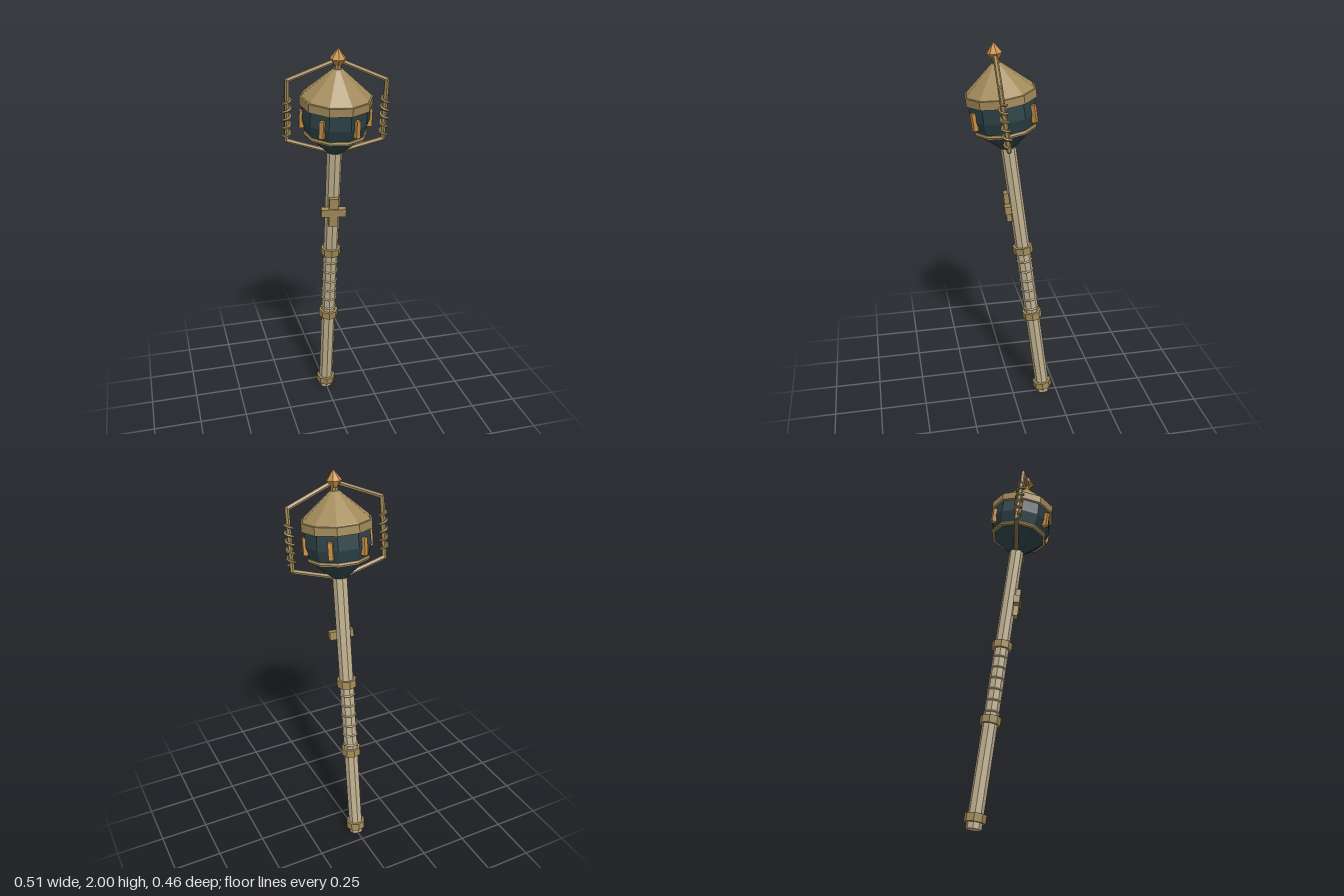
import * as THREE from 'three';

export function createModel() {
  const model = new THREE.Group();
  model.name = 'sceptre';

  const mat = (name, color) => {
    const m = new THREE.MeshStandardMaterial({ color });
    m.name = name;
    return m;
  };
  const bone = mat('bone', 0xbfb08f);
  const brass = mat('brass', 0xa28a5a);
  const dark = mat('darkTeal', 0x2c4147);
  const amber = mat('amber', 0xc48c42);

  // Faceted mesh: unshared vertices give each face its own normal
  const add = (name, geometry, material, parent = model) => {
    const g = geometry.index ? geometry.toNonIndexed() : geometry;
    g.computeVertexNormals();
    const mesh = new THREE.Mesh(g, material);
    mesh.name = name;
    parent.add(mesh);
    return mesh;
  };

  // Stack of [radius, height] rings along the staff axis
  const turned = (name, points, sides, material, phase = 0) =>
    add(name, new THREE.LatheGeometry(points.map(p => new THREE.Vector2(...p)), sides, phase), material);

  // Straight hexagonal rod between two points
  const rod = (name, a, b, radius, material, parent) => {
    const d = b.clone().sub(a);
    const mesh = add(name, new THREE.CylinderGeometry(radius, radius, d.length(), 6), material, parent);
    mesh.position.copy(a).add(b).multiplyScalar(0.5);
    mesh.quaternion.setFromUnitVectors(new THREE.Vector3(0, 1, 0), d.normalize());
  };

  // Shaft with collars and grip rings
  turned('shaft', [[0, 0], [0.038, 0], [0.038, 1.52], [0, 1.52]], 8, bone);
  for (const y of [0.05, 0.527, 0.932]) {
    turned('collar', [[0, y - 0.02], [0.052, y - 0.02], [0.052, y + 0.02], [0, y + 0.02]], 8, brass);
  }
  for (let i = 0; i < 6; i++) {
    const ring = add('gripRing', new THREE.TorusGeometry(0.038, 0.005, 4, 8).rotateZ(Math.PI / 8), bone);
    ring.rotation.x = Math.PI / 2;
    ring.rotation.z = Math.PI / 8;
    ring.position.y = 0.57 + i * 0.059;
  }

  // Cross on the front of the shaft
  const cross = new THREE.Group();
  cross.name = 'crossEmblem';
  cross.position.set(0, 1.185, 0.045);
  add('crossUpright', new THREE.BoxGeometry(0.046, 0.156, 0.026), brass, cross);
  add('crossBar', new THREE.BoxGeometry(0.126, 0.042, 0.034), brass, cross);
  model.add(cross);

  // Ten-sided lantern head, a flat side facing forward
  const half = Math.PI / 10;
  turned('lanternBody', [[0, 1.5], [0.04, 1.5], [0.142, 1.595], [0.166, 1.67], [0.162, 1.75], [0, 1.75]], 10, dark, half);
  turned('roofBand', [[0.15, 1.738], [0.175, 1.742], [0.175, 1.782], [0.15, 1.786]], 10, brass, half);
  turned('roof', [[0.169, 1.78], [0.165, 1.788], [0.022, 1.915], [0, 1.915]], 10, brass, half);
  turned('lowerHoop', [[0.138, 1.59], [0.152, 1.59], [0.156, 1.6], [0.152, 1.61], [0.14, 1.61]], 10, brass, half);

  // Amber window posts around the body
  for (let i = 0; i < 6; i++) {
    const a = Math.PI / 6 + i * Math.PI / 3;
    const post = add('windowPost', new THREE.BoxGeometry(0.022, 0.085, 0.024), amber);
    post.position.set(Math.sin(a) * 0.163, 1.673, Math.cos(a) * 0.163);
    post.rotation.y = a;
  }

  // Finial
  turned('finialNeck', [[0.018, 1.91], [0.018, 1.945], [0, 1.945]], 8, brass);
  turned('finial', [[0, 1.925], [0.014, 1.925], [0.039, 1.962], [0, 2.013]], 7, amber);

  // Side frames, each upright wrapped by a coil
  for (const side of [1, -1]) {
    const frame = new THREE.Group();
    frame.name = side > 0 ? 'leftFrame' : 'rightFrame';
    const path = [[0, 1.957], [0.234, 1.86], [0.234, 1.563], [0.02, 1.5]]
      .map(([x, y]) => new THREE.Vector3(side * x, y, 0));
    ['frameTop', 'frameUpright', 'frameBottom'].forEach((name, i) =>
      rod(name, path[i], path[i + 1], 0.012, brass, frame));
    for (const p of path.slice(1, 3)) {
      add('frameJoint', new THREE.IcosahedronGeometry(0.0125, 0), brass, frame).position.copy(p);
    }
    const coil = [];
    for (let i = 0; i <= 40; i++) {
      const a = i * Math.PI / 4;
      coil.push(new THREE.Vector3(side * (0.234 + 0.018 * Math.cos(a)), 1.585 + i * 0.0051, 0.018 * Math.sin(a)));
    }
    add('frameCoil', new THREE.TubeGeometry(new THREE.CatmullRomCurve3(coil), 80, 0.007, 5), brass, frame);
    model.add(frame);
  }

  // Lean the staff forward and turn it slightly about its own axis
  model.rotation.set(0.1345, -0.127, 0);
  model.position.set(0, 0.005, -0.175);
  const root = new THREE.Group();
  root.name = 'leaningSceptre';
  root.add(model);
  return root;
}
